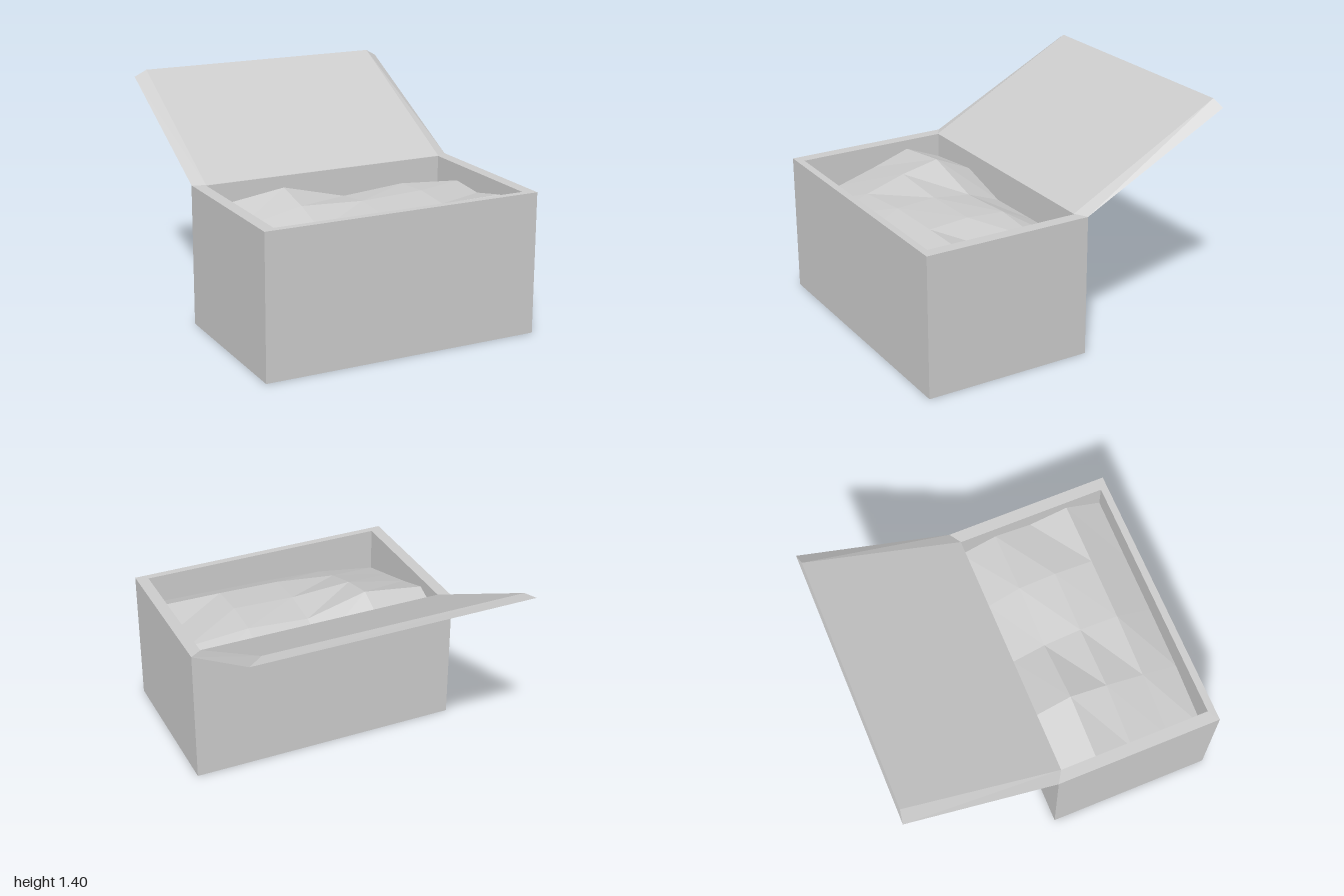
import * as THREE from 'three';

const material = new THREE.MeshStandardMaterial({ color: 0xcccccc, flatShading: true, side: THREE.DoubleSide });

const W = 0.875, H = 0.875, BACK = -0.05, FRONT = 1; // outer box
const IW = 0.8, IBACK = -0.005, IFRONT = 0.955;      // opening
const FLOOR = 0.05;

function add(group, name, geometry) {
  const mesh = new THREE.Mesh(geometry, material);
  mesh.name = name;
  group.add(mesh);
  return mesh;
}

// Rectangle outline on the ground plane, with shape y standing for -z
function rect(PathType, w, back, front) {
  return new PathType([[-w, -front], [w, -front], [w, -back], [-w, -back]].map(p => new THREE.Vector2(...p)));
}

export function createModel() {
  const group = new THREE.Group();
  group.name = 'openChest';

  // Four walls as one extruded frame
  const frame = rect(THREE.Shape, W, BACK, FRONT);
  frame.holes.push(rect(THREE.Path, IW, IBACK, IFRONT));
  const walls = new THREE.ExtrudeGeometry(frame, { depth: H, bevelEnabled: false });
  walls.rotateX(-Math.PI / 2);
  add(group, 'boxWalls', walls);

  // Floor plate filling the frame
  const floor = new THREE.BoxGeometry(IW * 2, FLOOR, IFRONT - IBACK);
  floor.translate(0, FLOOR / 2, (IFRONT + IBACK) / 2);
  add(group, 'boxFloor', floor);

  // Open lid: a thin slab whose upper face is narrower and shifted
  const lid = new THREE.BoxGeometry(2, 2, 2);
  const p = lid.attributes.position;
  for (let i = 0; i < p.count; i++) {
    const upper = p.getY(i) > 0, hinge = p.getZ(i) > 0;
    const x = Math.sign(p.getX(i)) * (upper ? IW : W);
    if (upper) p.setXYZ(i, x, hinge ? 0.878 : 1.405, hinge ? -0.003 : -0.985);
    else p.setXYZ(i, x, hinge ? H : 1.363, hinge ? BACK : -1);
  }
  lid.computeVertexNormals();
  add(group, 'lid', lid);

  // Lumpy contents: heights on a 4 x 4 grid, rows from back to front
  const heights = [
    [0.72, 0.765, 0.69, 0.70, 0.69],
    [0.816, 0.872, 0.77, 0.80, 0.77],
    [0.735, 0.82, 0.80, 0.815, 0.75],
    [0.66, 0.74, 0.785, 0.795, 0.80],
    [0.59, 0.65, 0.67, 0.68, 0.69],
  ];
  const rowZ = [IBACK, 0.23, 0.47, 0.72, IFRONT];
  const contents = new THREE.PlaneGeometry(IW * 2, 1, 4, 4);
  contents.rotateX(-Math.PI / 2);
  const c = contents.attributes.position;
  for (let i = 0; i < c.count; i++) {
    const row = Math.floor(i / 5), col = i % 5;
    const gap = row === 0 && (col === 2 || col === 3) ? 0.025 : 0;
    c.setY(i, heights[row][col]);
    c.setZ(i, rowZ[row] + gap);
  }
  contents.computeVertexNormals();
  add(group, 'contents', contents);

  return group;
}
